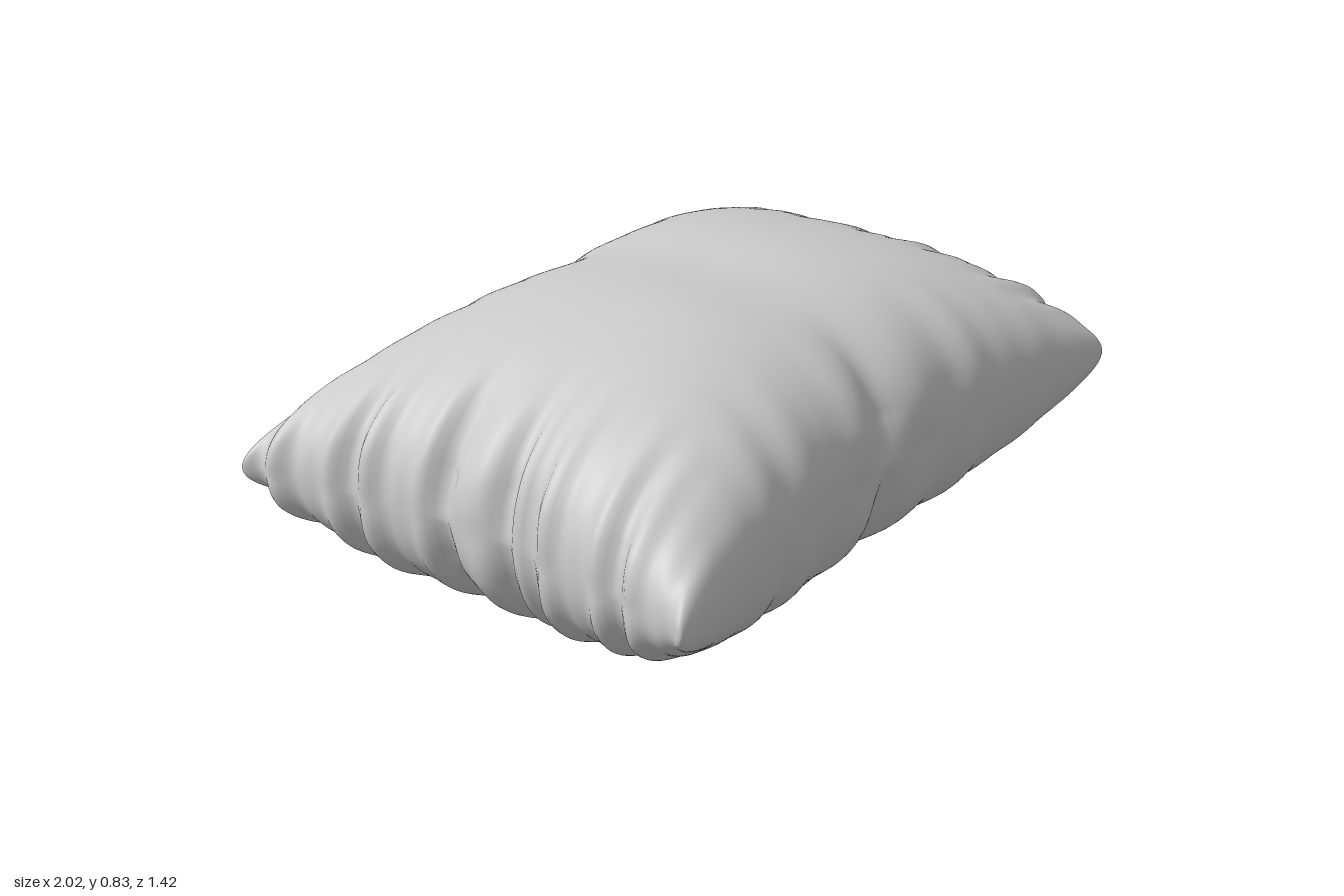
import * as THREE from 'three';
import { mergeVertices } from 'three/addons/utils/BufferGeometryUtils.js';

const N = 130;          // grid cells per side of each cloth panel
const MID = 0.42;       // height of the seam

const bump = (x, centre, width) => Math.exp(-(((x - centre) / width) ** 2));
const dome = (u, p) => Math.pow(Math.max(0, 1 - Math.pow(Math.abs(u), p)), 0.4);

// Gathers along the short ends, positive pulls the cloth inward
function endFolds(v, side) {
  const z = v * 0.67;
  const ripple = 0.3 * Math.sin(z * 47 + side * 0.6) + 0.22 * Math.sin(z * 71 + 1.3);
  return ripple * THREE.MathUtils.smoothstep(Math.abs(z), 0.08, 0.2)
    + 0.9 * bump(z, 0.1, 0.03) + 0.9 * bump(z, -0.09, 0.03) - 0.3 * bump(z, 0.02, 0.04);
}

// Softer gathers along the long sides, with one deep tuck in the middle
function sideFolds(u, side) {
  return 0.9 * bump(u, 0, 0.055) - 0.3 * bump(Math.abs(u), 0.15, 0.06)
    + 0.15 * Math.sin(u * 24 + side) * bump(Math.abs(u), 0.4, 0.3)
    + 0.1 * Math.sin(u * 39 + side * 2) * bump(Math.abs(u), 0.45, 0.3);
}

// Point on the cloth; a and b run from -1 to 1, up is 1 for the top panel, -1 for the bottom
function clothPoint(a, b, up) {
  const u = Math.sin(a * Math.PI / 2), v = Math.sin(b * Math.PI / 2);
  const au = Math.abs(u), av = Math.abs(v);
  const fx = dome(u, 2.6), fz = dome(v, 2.3);

  // Folds are strongest on the walls and fade out towards the crown
  const endAmount = Math.pow(1 - fx, 0.8) * THREE.MathUtils.smoothstep(au, 0.6, 0.92);
  const sideAmount = Math.pow(1 - fz, 0.8) * THREE.MathUtils.smoothstep(av, 0.5, 0.92);
  const ends = endFolds(v, Math.sign(u)) * endAmount;
  const sides = sideFolds(u, Math.sign(v)) * sideAmount;
  // Fold depth on the wall is larger than on the seam itself
  const endDepth = 0.028 + 0.045 * fz * Math.min(1, fx * 3) ;
  const sideDepth = 0.008 + 0.07 * fx * Math.min(1, fz * 3);

  // Seam outline: waisted sides, pulled-out blunt corners
  const blunt = 0.012 * Math.pow(au * av, 30);
  const halfX = 0.925 + 0.083 * Math.pow(av, 1.7) - blunt;
  const halfZ = 0.62 + 0.1 * Math.pow(au, 1.6) * THREE.MathUtils.smoothstep(au, -0.1, 0.4) - blunt;
  const x = u * halfX * (1 - endDepth * ends);
  const z = v * halfZ * (1 - sideDepth * sides);

  // Shallow valley across the middle and the long crease at each end
  const valley = 1 - 0.035 * bump(u, 0, 0.2);
  const crease = 1 - 0.1 * bump(v, -0.07, 0.07) * THREE.MathUtils.smoothstep(au, 0.7, 0.95);
  const h = 0.421 * fx * fz * valley * crease * (1 - 0.16 * ends) * (1 - 0.16 * sides);
  return [x, MID + up * h, z];
}

function pillowGeometry() {
  const positions = [], index = [];
  for (const up of [1, -1]) {
    const start = positions.length / 3;
    for (let i = 0; i <= N; i++) {
      for (let j = 0; j <= N; j++) {
        positions.push(...clothPoint(2 * i / N - 1, 2 * j / N - 1, up));
      }
    }
    for (let i = 0; i < N; i++) {
      for (let j = 0; j < N; j++) {
        const p = start + i * (N + 1) + j, q = p + N + 1;
        if (up > 0) index.push(p, p + 1, q + 1, p, q + 1, q);
        else index.push(p, q + 1, p + 1, p, q, q + 1);
      }
    }
  }
  const geometry = new THREE.BufferGeometry();
  geometry.setAttribute('position', new THREE.Float32BufferAttribute(positions, 3));
  geometry.setIndex(index);
  // Weld the two panels along the seam
  const welded = mergeVertices(geometry, 1e-5);
  welded.computeVertexNormals();
  return welded;
}

export function createModel() {
  const model = new THREE.Group();
  model.name = 'pillow';
  const cushion = new THREE.Mesh(pillowGeometry(), new THREE.MeshStandardMaterial({ color: 0xcccccc }));
  cushion.name = 'cushion';
  model.add(cushion);
  return model;
}
